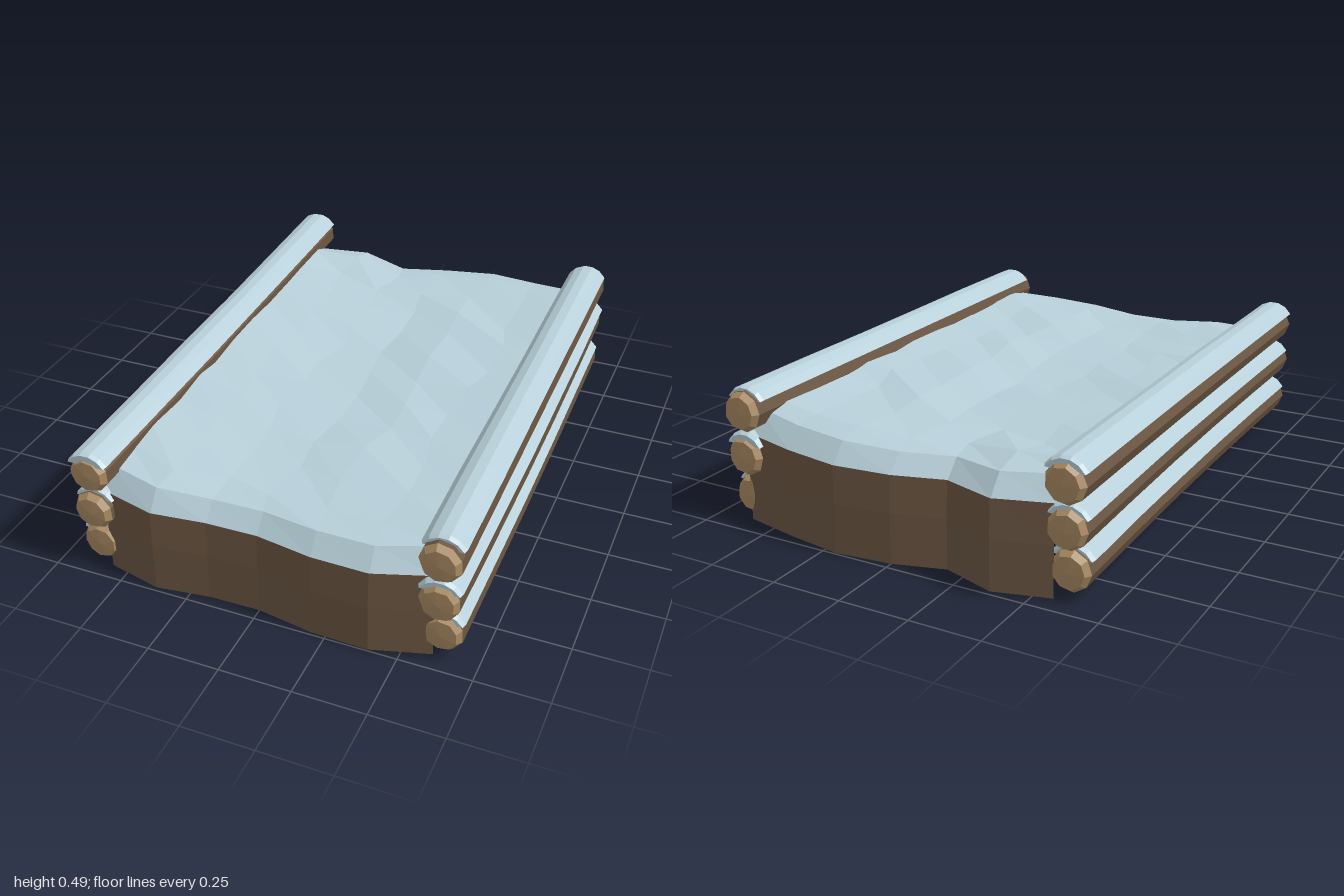
import * as THREE from 'three';

const material = (name, color) => {
  const m = new THREE.MeshStandardMaterial({ color, side: THREE.DoubleSide });
  m.name = name;
  return m;
};

// Flat-shaded mesh from rows of points; closed joins each row's last point to its first
function loft(name, rows, closed, mat) {
  const pos = [], n = rows[0].length;
  const tri = (a, b, c) => pos.push(...a, ...b, ...c);
  for (let r = 0; r < rows.length - 1; r++) {
    for (let i = 0; i < (closed ? n : n - 1); i++) {
      const j = (i + 1) % n;
      const a = rows[r][i], b = rows[r][j], c = rows[r + 1][j], d = rows[r + 1][i];
      tri(a, b, d);
      tri(b, c, d);
    }
  }
  const geo = new THREE.BufferGeometry();
  geo.setAttribute('position', new THREE.Float32BufferAttribute(pos, 3));
  geo.computeVertexNormals();
  const mesh = new THREE.Mesh(geo, mat);
  mesh.name = name;
  return mesh;
}

function seeded(seed) {
  return () => {
    seed = (seed * 16807) % 2147483647;
    return seed / 2147483647 - 0.5;
  };
}

export function createModel() {
  const snow = material('snow', 0xb8d0da);
  const bark = material('bark', 0x6b5642);
  const cutWood = material('cut wood', 0xa98a62);
  const model = new THREE.Group();
  model.name = 'snowyLogPlatform';

  // One log along z: bark body, chamfered pale ends and a snow cap
  function addLog(name, { x0, x1, y0, y1, z0, z1, bend, capFront, capBack, seed }) {
    const rand = seeded(seed), group = new THREE.Group();
    group.name = name;
    const sides = 9, wobble = Array.from({ length: sides }, () => 1 + rand() * 0.06);
    const centre = z => {
      const t = (z0 - z) / (z0 - z1);
      return [x0 + (x1 - x0) * t + bend * Math.sin(Math.PI * t), y0 + (y1 - y0) * t];
    };
    const ring = (z, r) => {
      const [cx, cy] = centre(z);
      return wobble.map((w, i) => {
        const a = ((i + 0.5) / sides) * Math.PI * 2;
        return [cx + Math.cos(a) * r * w, cy + Math.sin(a) * r * w, z];
      });
    };
    const inFront = z0 - 0.022, inBack = z1 + 0.022, body = [];
    for (let k = 0; k <= 5; k++) body.push(ring(inFront + (inBack - inFront) * k / 5, 0.071));
    group.add(loft('bark', body, true, bark));
    group.add(loft('frontEnd', [ring(z0 + 0.004, 0), ring(z0, 0.056), ring(inFront, 0.071)], true, cutWood));
    group.add(loft('backEnd', [ring(inBack, 0.071), ring(z1, 0.056), ring(z1 - 0.004, 0)], true, cutWood));

    // Snow cap: upper arc closed by a chord hidden inside the log
    const arc = (z, r) => {
      const [cx, cy] = centre(z);
      return [0, 1, 2, 3, 4, 5].map(i => {
        const a = THREE.MathUtils.degToRad(32 + i * 23.5);
        return [cx + Math.cos(a) * r, cy + Math.sin(a) * r, z];
      });
    };
    const middle = z => {
      const [cx, cy] = centre(z);
      return Array(6).fill([cx, cy + 0.06, z]);
    };
    const cap = [middle(capFront), arc(capFront, 0.078)];
    for (let k = 0; k <= 5; k++) {
      cap.push(arc(capFront - 0.015 + (capBack - capFront + 0.03) * k / 5, 0.085 + rand() * 0.004));
    }
    cap.push(arc(capBack, 0.078), middle(capBack));
    group.add(loft('snowCap', cap, true, snow));
    model.add(group);
  }

  // Three stacked logs on each side
  addLog('rightTopLog', { x0: -0.595, x1: -0.622, y0: 0.4, y1: 0.412, z0: 0.98, z1: -0.99, bend: 0.004, capFront: 0.975, capBack: -0.975, seed: 11 });
  addLog('rightMiddleLog', { x0: -0.597, x1: -0.615, y0: 0.25, y1: 0.25, z0: 0.98, z1: -0.96, bend: 0.012, capFront: 0.95, capBack: -0.94, seed: 23 });
  addLog('rightBottomLog', { x0: -0.597, x1: -0.612, y0: 0.1, y1: 0.1, z0: 0.95, z1: -0.93, bend: 0.012, capFront: 0.93, capBack: -0.9, seed: 37 });
  addLog('leftTopLog', { x0: 0.62, x1: 0.597, y0: 0.403, y1: 0.41, z0: 0.98, z1: -0.965, bend: 0, capFront: 0.94, capBack: -0.93, seed: 41 });
  addLog('leftMiddleLog', { x0: 0.62, x1: 0.597, y0: 0.25, y1: 0.252, z0: 0.98, z1: -0.96, bend: 0.008, capFront: 0.965, capBack: -0.95, seed: 53 });
  addLog('leftBottomLog', { x0: 0.624, x1: 0.6, y0: 0.104, y1: 0.1, z0: 0.95, z1: -0.93, bend: 0.005, capFront: 0.935, capBack: -0.9, seed: 67 });

  // Wavy front and back outlines, sampled across the width
  const xs = [-0.565, -0.37, -0.18, 0, 0.2, 0.4, 0.6];
  const frontZ = [0.93, 0.975, 0.95, 0.947, 0.982, 0.99, 0.935];
  const backZ = [-0.92, -0.972, -0.91, -0.962, -0.988, -0.96, -0.92];
  const rimY = [0.312, 0.308, 0.305, 0.305, 0.308, 0.312, 0.322];
  const crestY = [0.388, 0.378, 0.366, 0.367, 0.376, 0.382, 0.4];
  const topY = [0.412, 0.398, 0.382, 0.381, 0.392, 0.397, 0.41];

  // Earth walls leaning slightly outwards at the foot
  const wall = (name, zs, dir) => model.add(loft(name, [
    xs.map((x, i) => [x, rimY[i] + 0.004, zs[i]]),
    xs.map((x, i) => [x, 0.18, zs[i] + dir * 0.008]),
    xs.map((x, i) => [x, 0.004 + 0.014 * Math.max(0, x), zs[i] + dir * 0.01]),
  ], false, bark));
  wall('frontWall', frontZ, 1);
  wall('backWall', backZ, -1);

  // Snow sheet: rolled rims at both ends, uneven field between
  const rand = seeded(99);
  const rim = (zs, inset, ys) => xs.map((x, i) => [x, ys[i], zs[i] - Math.sign(zs[i]) * inset]);
  const rows = [rim(frontZ, 0.003, rimY), rim(frontZ, 0.055, crestY)];
  const steps = 10;
  for (let k = 0; k <= steps; k++) {
    const t = k / steps;
    rows.push(xs.map((x, i) => {
      const edge = i === 0 || i === xs.length - 1;
      const z = (frontZ[i] - 0.15) * (1 - t) + (backZ[i] + 0.15) * t;
      return [x + (edge ? 0 : rand() * 0.06), topY[i] + rand() * 0.022, z + rand() * 0.05];
    }));
  }
  rows.push(rim(backZ, 0.06, crestY), rim(backZ, 0.003, rimY));
  model.add(loft('snowSheet', rows, false, snow));

  return model;
}
